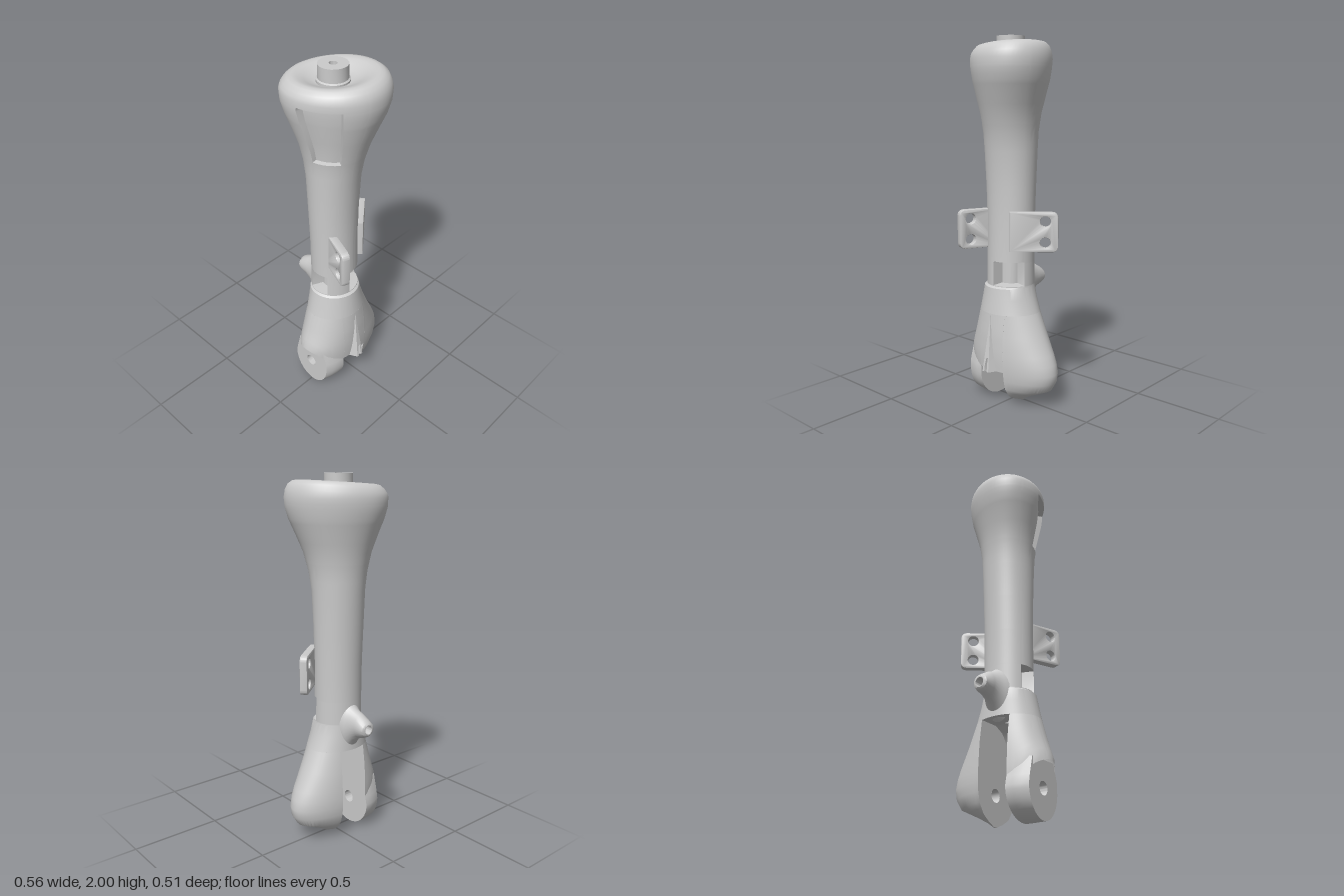
import * as THREE from 'three';
import { toCreasedNormals } from 'three/addons/utils/BufferGeometryUtils.js';

const CX = -0.035; // axis of the shaft
const IN_L = -0.12, IN_R = 0.05; // inner faces of the fork
const AXLE_Y = 0.155, BORE = 0.021;

// Limb outline: y, left x, right x, front z, back z, skew of the section
const ROWS = [
  [0, -0.25, 0.06, 0.03, -0.03, 0],
  [0.02, -0.25, 0.085, 0.085, -0.075, 0],
  [0.05, -0.25, 0.14, 0.125, -0.11, 0],
  [0.1, -0.26, 0.248, 0.15, -0.135, 0],
  [0.15, -0.27, 0.278, 0.16, -0.147, 0],
  [0.2, -0.275, 0.285, 0.167, -0.152, 0],
  [0.25, -0.28, 0.273, 0.171, -0.152, 0],
  [0.3, -0.28, 0.252, 0.173, -0.15, 0],
  [0.4, -0.245, 0.2, 0.172, -0.147, 0],
  [0.52, -0.21, 0.147, 0.164, -0.135, 0],
  [0.6, -0.192, 0.117, 0.153, -0.13, 0],
  [0.66, -0.18, 0.102, 0.145, -0.127, 0],
  [0.668, -0.168, 0.1, 0.13, -0.126, 0],
  [0.8, -0.168, 0.098, 0.127, -0.125, 0],
  [1.0, -0.17, 0.1, 0.122, -0.126, 0],
  [1.2, -0.175, 0.105, 0.124, -0.134, 0],
  [1.4, -0.181, 0.112, 0.137, -0.142, 0],
  [1.5, -0.187, 0.121, 0.153, -0.15, 0.05],
  [1.6, -0.204, 0.142, 0.18, -0.167, 0.1],
  [1.7, -0.232, 0.178, 0.215, -0.196, 0.16],
  [1.77, -0.252, 0.204, 0.24, -0.22, 0.2],
  [1.83, -0.264, 0.218, 0.254, -0.234, 0.22],
  [1.88, -0.265, 0.223, 0.256, -0.238, 0.22],
];

// Point on the outline at height y and angle t (0 = left side, 90 deg = front)
function section(y, t, k = 1) {
  let i = 0;
  while (i < ROWS.length - 2 && ROWS[i + 1][0] < y) i++;
  const A = ROWS[i], B = ROWS[i + 1];
  const f = THREE.MathUtils.clamp((y - A[0]) / (B[0] - A[0]), 0, 1);
  const [, xl, xr, zf, zb, skew] = A.map((v, n) => v + (B[n] - v) * f);
  const c = Math.cos(t), s = Math.sin(t + skew);
  return new THREE.Vector3(
    CX + k * c * (c > 0 ? xr - CX : CX - xl), y, k * s * (s > 0 ? zf : -zb));
}

// Angle at which the outline meets a plane of constant x
function angleAt(y, x) {
  const w = x > CX ? section(y, 0).x - CX : CX - section(y, Math.PI).x;
  return Math.acos((x - CX) / w);
}

// Surface through rings of equal length, listed from bottom to top
function loft(rings, { closed = true, bottom = false, top = false } = {}) {
  const n = rings[0].length, pos = [], idx = [];
  rings.flat().forEach(p => pos.push(p.x, p.y, p.z));
  for (let j = 0; j < rings.length - 1; j++)
    for (let i = 0; i < (closed ? n : n - 1); i++) {
      const a = j * n + i, b = j * n + (i + 1) % n;
      idx.push(a, a + n, b, b, a + n, b + n);
    }
  const cap = (j, up) => {
    const c = new THREE.Vector3();
    rings[j].forEach(p => c.addScaledVector(p, 1 / n));
    const m = pos.push(c.x, c.y, c.z) / 3 - 1;
    for (let i = 0; i < n; i++) {
      const a = j * n + i, b = j * n + (i + 1) % n;
      if (up) idx.push(m, b, a); else idx.push(m, a, b);
    }
  };
  if (bottom) cap(0, false);
  if (top) cap(rings.length - 1, true);
  const g = new THREE.BufferGeometry();
  g.setAttribute('position', new THREE.Float32BufferAttribute(pos, 3));
  g.setIndex(idx);
  return g;
}

const range = (a, b, n) => Array.from({ length: n + 1 }, (_, i) => a + (b - a) * i / n);
const unique = list => [...new Set(list.map(v => +v.toFixed(4)))].sort((a, b) => a - b);
const shapeOf = pts => new THREE.Shape(pts.map(p => new THREE.Vector2(...p)));
function addHole(shape, x, y, r) {
  shape.holes.push(new THREE.Path().absarc(x, y, r, 0, Math.PI * 2, true));
}

export function createModel() {
  const model = new THREE.Group();
  const mat = new THREE.MeshStandardMaterial({ color: 0xcccccc, side: THREE.DoubleSide });
  const add = (name, geo, crease = 0.6) => {
    const mesh = new THREE.Mesh(toCreasedNormals(geo, crease), mat);
    mesh.name = name;
    model.add(mesh);
    return mesh;
  };

  // Shaft and head, with recessed windows: angles in degrees, heights, depth factor
  const windows = [
    [122, 172, 1.54, 1.85, 0.84],
    [15, 95, 0.672, 0.805, 0.5],
    [152, 208, 0.672, 0.8, 0.5],
  ];
  const angles = unique([...range(0, 354, 59), ...windows.flatMap(([a, b]) => [a, a + 0.6, b - 0.6, b])]);
  const heights = unique([...ROWS.map(r => r[0]).filter(y => y >= 0.52), ...range(1.45, 1.85, 8),
    ...windows.flatMap(([, , a, b]) => [a, a + 0.004, b - 0.004, b])]);
  const rad = THREE.MathUtils.degToRad;
  const boreRing = y => angles.map(d =>
    new THREE.Vector3(CX + BORE * Math.cos(rad(d)), y, BORE * Math.sin(rad(d))));
  const walls = heights.map(y => angles.map(d => {
    const w = windows.find(([a, b, c, e]) => d > a + 0.5 && d < b - 0.5 && y > c + 0.003 && y < e - 0.003);
    return section(y, rad(d), w ? w[4] : 1);
  }));
  // rounded rim, then the dish around the post
  const rim = [[1.91, 0.975], [1.935, 0.92], [1.952, 0.84], [1.957, 0.76], [1.952, 0.66],
    [1.94, 0.54], [1.925, 0.42], [1.915, 0.3]];
  const dish = rim.map(([y, k]) => angles.map(d => {
    const p = section(1.88, rad(d), k);
    p.y = y + 0.075 * p.x * Math.min(1, (y - 1.88) / 0.05);
    return p;
  }));
  // the bore runs through the whole shaft
  add('shaft', loft([boreRing(1.915), boreRing(0.52), ...walls, ...dish, boreRing(1.915)]));

  // Bored post in the head, with a collar
  const post = new THREE.LatheGeometry(
    [[0.083, 1.88], [0.083, 1.925], [0.075, 1.93], [0.075, 2], [BORE, 2], [BORE, 1.9]]
      .map(p => new THREE.Vector2(...p)), 20);
  add('post', post.translate(CX, 0, 0));

  // Left condyle: rounded outside, open inner side closed by a bored plate
  const lowYs = unique([...ROWS.map(r => r[0]).filter(y => y <= 0.52), 0.01, 0.035, 0.075]);
  const edge = y => angleAt(y, IN_R);
  add('leftCondyle', loft(lowYs.map(y => range(-edge(y), edge(y), 28).map(t => section(y, t))),
    { closed: false, bottom: true }));
  const side = s => lowYs.map(y => [section(y, s * edge(y)).z, y]);
  const inner = shapeOf([...side(1), ...side(-1).reverse()]);
  addHole(inner, 0, AXLE_Y, 0.035);
  add('leftInnerFace', new THREE.ShapeGeometry(inner, 24).rotateY(-Math.PI / 2).translate(IN_R, 0, 0));
  add('leftAxleBore', new THREE.CylinderGeometry(0.035, 0.035, 0.1, 24, 1, true)
    .rotateZ(Math.PI / 2).translate(IN_R + 0.05, AXLE_Y, 0));

  // Right condyle, its lower edge cut in an arc around the axle
  const arc = z => AXLE_Y + Math.sqrt(Math.max(0, 0.132 ** 2 - z * z));
  add('rightCondyle', loft(range(0, 1, 8).map(f => {
    const t0 = angleAt(0.27, IN_L);
    const outer = range(t0, Math.PI * 2 - t0, 36).map((t, i) => {
      const low = arc(section(0.27, t).z), y = low + (0.52 - low) * f, e = angleAt(y, IN_L);
      return section(y, e + (Math.PI * 2 - 2 * e) * i / 36);
    });
    const a = outer[36].z, b = outer[0].z;
    const innerSide = range(0, 1, 16).slice(1, -1).map(s => {
      const z = a + (b - a) * s, low = arc(z);
      return new THREE.Vector3(IN_L, low + (0.52 - low) * f, z);
    });
    return [...outer, ...innerSide];
  })));

  // Right cheek: flat bored plate with a round foot, narrowing outwards
  const foot = range(Math.PI, Math.PI * 2, 24).map(a => [0.155 * Math.cos(a), AXLE_Y + 0.155 * Math.sin(a)]);
  const cheek = shapeOf([...foot, [0.155, 0.2], [0.12, 0.295], [-0.115, 0.295], [-0.145, 0.2]]);
  addHole(cheek, 0, AXLE_Y, 0.035);
  const cheekGeo = new THREE.ExtrudeGeometry(cheek, { depth: 0.115, steps: 3, bevelEnabled: false, curveSegments: 24 })
    .rotateY(-Math.PI / 2).translate(IN_L, 0, 0);
  const cp = cheekGeo.attributes.position;
  for (let i = 0; i < cp.count; i++) {
    const out = (IN_L - cp.getX(i)) / 0.115;
    if (Math.hypot(cp.getZ(i), cp.getY(i) - AXLE_Y) > 0.05) cp.setZ(i, cp.getZ(i) * (1 - 0.2 * out * out));
  }
  add('rightCheek', cheekGeo);

  // Front wall bridging the fork, hollowed behind by the elbow slot
  add('frontWall', loft(range(0.2, 0.52, 12).map(y => {
    const back = 0.14 * Math.sqrt(Math.max(0, 1 - ((y - 0.2) / 0.32) ** 2));
    const front = range(IN_R, IN_L, 10).map(x => section(y, angleAt(y, x)));
    return [...front, new THREE.Vector3(IN_L, y, back), new THREE.Vector3(IN_R, y, back)];
  }), { bottom: true }));

  // Tapered ridge on the front wall, split at its foot
  add('frontRidge', loft(range(0.2, 0.51, 8).map(y => {
    const f = (0.51 - y) / 0.31, w = 0.045 * f + 0.002, z = 0.166 + 0.044 * f;
    const slit = y < 0.25 ? 0.03 : 0;
    return [[w, 0.155], [w * 0.45, z], [w * 0.2, z], [0, z - slit], [-w * 0.2, z], [-w * 0.45, z], [-w, 0.155]]
      .map(([x, d]) => new THREE.Vector3(CX + x, y, d));
  }), { bottom: true }), 0.3);

  // Lug flaring out of the back, with a blind bore: z, half width, bottom, top
  const lug = [[-0.09, 0.085, 0.5, 0.81], [-0.125, 0.066, 0.535, 0.775], [-0.15, 0.054, 0.575, 0.757],
    [-0.19, 0.049, 0.605, 0.742], [-0.23, 0.046, 0.618, 0.72], [-0.248, 0.041, 0.628, 0.708],
    [-0.255, 0.03, 0.638, 0.698], [-0.255, 0.024, 0.644, 0.692], [-0.18, 0.024, 0.644, 0.692]];
  add('backLug', loft(lug.map(([z, w, y0, y1]) => range(0, Math.PI * 2, 28).slice(0, -1).map(t =>
    new THREE.Vector3(CX + w * Math.cos(t), (y0 + y1) / 2 + (y1 - y0) / 2 * Math.sin(t), z))), { top: true }));

  // Two mounting flanges with a pair of screw holes each
  const flange = (name, len, holeX, thick, x, z, angle) => {
    const h = 0.107, r = 0.035, s = new THREE.Shape();
    s.moveTo(0, -h);
    s.lineTo(len - r, -h);
    s.quadraticCurveTo(len, -h, len, -h + r);
    s.lineTo(len, h - r);
    s.quadraticCurveTo(len, h, len - r, h);
    s.lineTo(0, h);
    [-0.057, 0.057].forEach(y => addHole(s, holeX, y, 0.029));
    const g = new THREE.ExtrudeGeometry(s, { depth: thick - 0.01, bevelThickness: 0.005, bevelSize: 0.005,
      bevelOffset: -0.005, bevelSegments: 2, curveSegments: 16 });
    const mesh = add(name, g.translate(0, 0, -thick / 2), 0.4);
    mesh.position.set(x, 0.978, z);
    mesh.rotation.y = angle;
  };
  flange('leftFlange', 0.258, 0.19, 0.04, 0.056, 0.11, 0.69);
  flange('rightFlange', 0.238, 0.175, 0.044, -0.11, 0.02, -1.96);

  return model;
}
